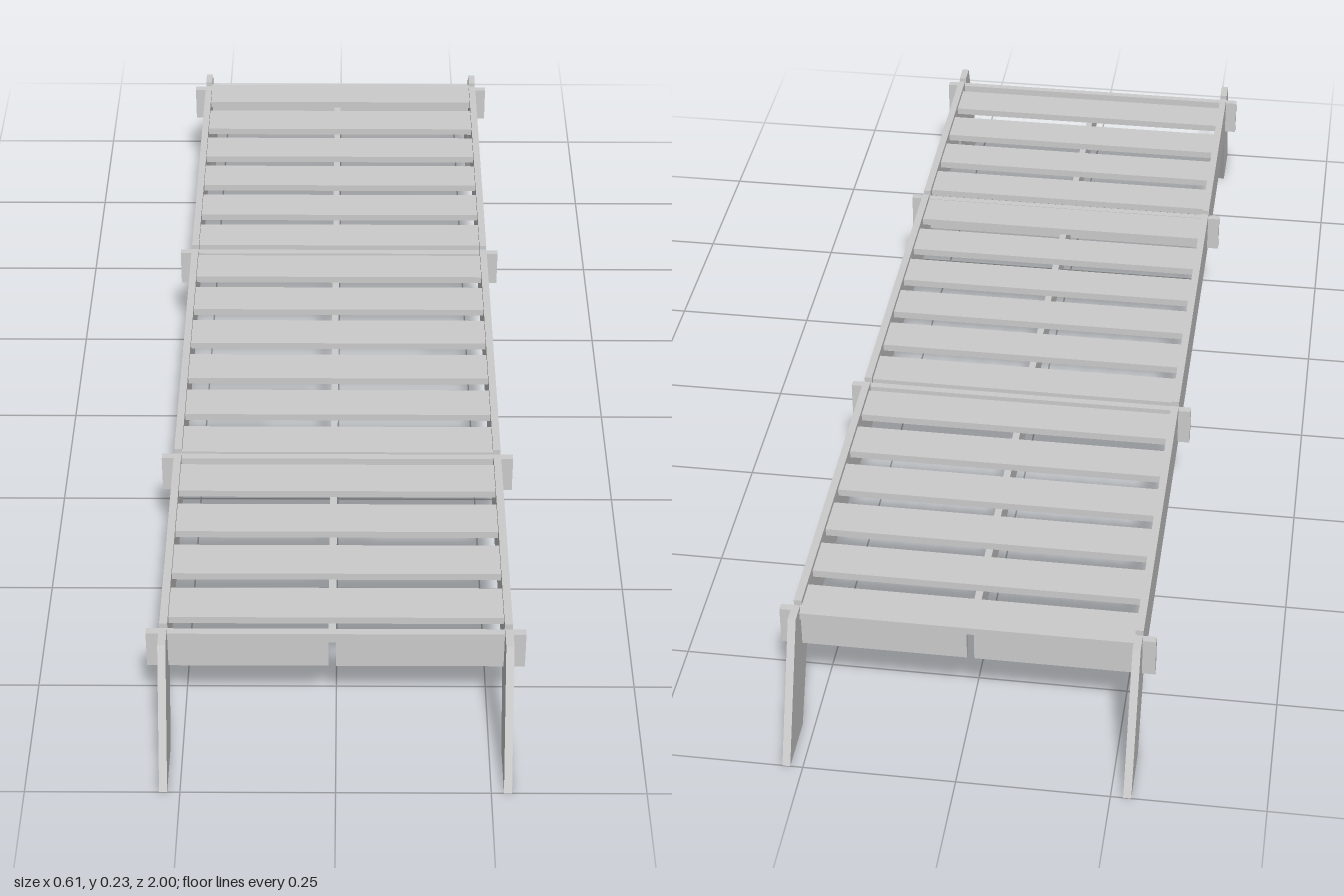
import * as THREE from 'three';

const material = new THREE.MeshStandardMaterial({ color: 0xcccccc });
const T = 0.013; // board thickness
const MEMBER_Z = [0.855, 0.4, -0.24, -0.86];

function addMesh(parent, name, geometry, x = 0, y = 0, z = 0) {
  const mesh = new THREE.Mesh(geometry, material);
  mesh.name = name;
  mesh.position.set(x, y, z);
  parent.add(mesh);
  return mesh;
}

// Flat board cut from an outline, centred on its thickness
function board(points) {
  const shape = new THREE.Shape(points.map(([a, b]) => new THREE.Vector2(a, b)));
  return new THREE.ExtrudeGeometry(shape, { depth: T, bevelEnabled: false }).translate(0, 0, -T / 2);
}

export function createModel() {
  const group = new THREE.Group();
  group.name = 'slattedBed';

  // Side rails with splayed legs, slotted from above for the cross members
  const outline = [[-1, 0], [-0.9, 0], [-0.83, 0.132], [0.83, 0.132], [0.9, 0], [1, 0], [0.9, 0.226]];
  for (const z of MEMBER_Z) {
    outline.push([z + T / 2, 0.226], [z + T / 2, 0.148], [z - T / 2, 0.148], [z - T / 2, 0.226]);
  }
  outline.push([-0.9, 0.226]);
  const railGeometry = board(outline).rotateY(-Math.PI / 2);
  addMesh(group, 'leftRail', railGeometry, 0.277);
  addMesh(group, 'rightRail', railGeometry, -0.277);

  // Cross members, notched from below for the spine
  const memberGeometry = board([
    [-0.305, 0.148], [-0.012, 0.148], [-0.012, 0.198], [0, 0.198],
    [0, 0.148], [0.305, 0.148], [0.305, 0.216], [-0.305, 0.216],
  ]);
  for (const z of MEMBER_Z) addMesh(group, 'crossMember', memberGeometry, 0, 0, z);

  // Central spine, open at both ends
  const spineGeometry = new THREE.BoxGeometry(0.012, 0.054, 1.715);
  spineGeometry.setIndex(Array.from(spineGeometry.index.array).slice(0, 24));
  spineGeometry.clearGroups();
  addMesh(group, 'spine', spineGeometry, -0.006, 0.175, -0.003);

  // Evenly spaced slats
  const slatGeometry = new THREE.BoxGeometry(0.546, T, 0.073);
  for (let i = 0; i < 16; i++) {
    addMesh(group, 'slat', slatGeometry, 0, 0.211, -0.838 + i * 0.1083);
  }
  return group;
}
